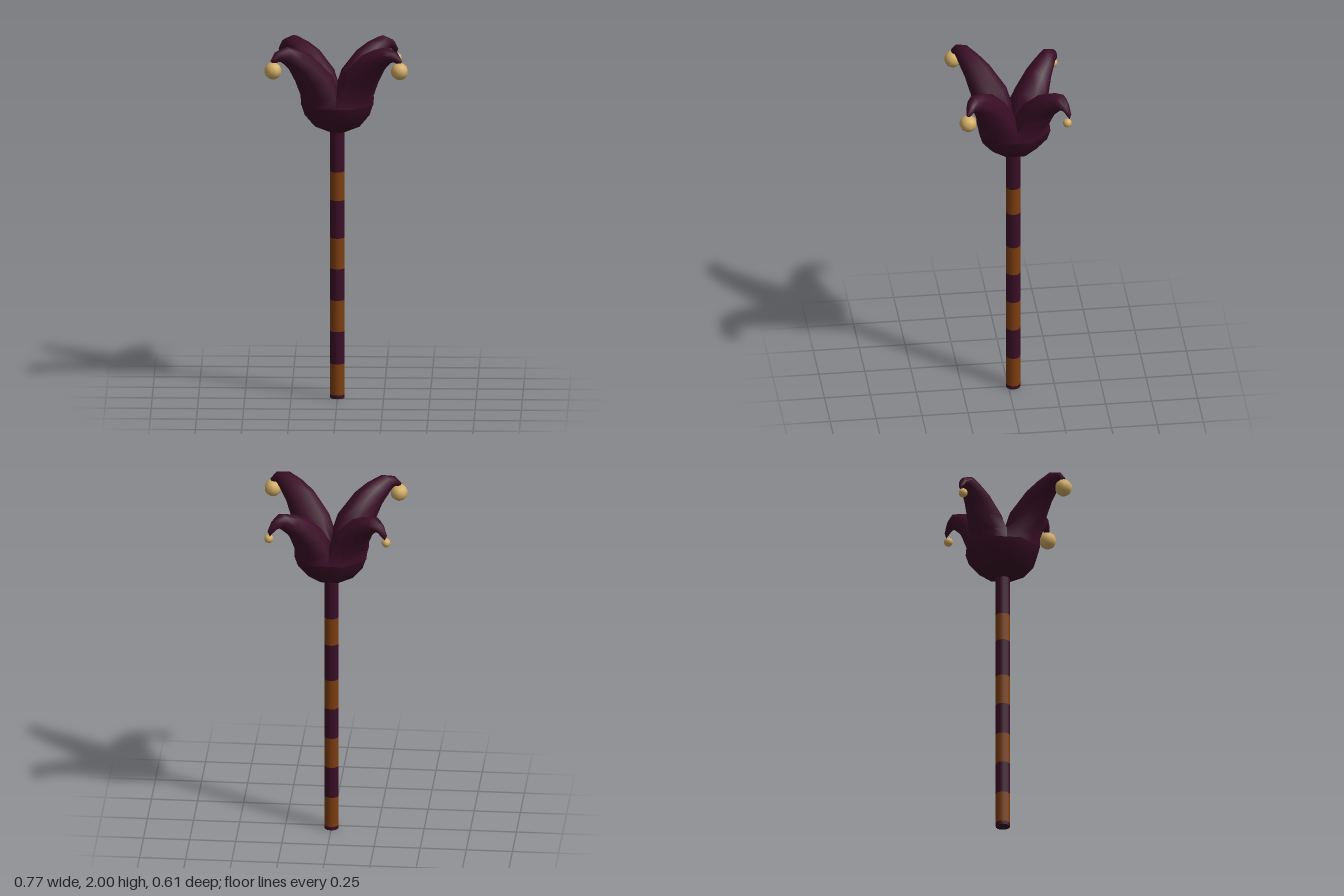
import * as THREE from 'three';
import { toCreasedNormals } from 'three/addons/utils/BufferGeometryUtils.js';

const AXIS_Z = -0.027; // the pole sits slightly behind centre

function material(name, color) {
  const m = new THREE.MeshStandardMaterial({ color });
  m.name = name;
  return m;
}

// Lobe sections from root to tip: inner edge (r, y), outer edge (r, y),
// half width, and blend from quarter-octagon (0) to ellipse (1).
const SECTIONS = [
  [0, 1.64, 0.193, 1.64, 0.136, 0],
  [0.022, 1.71, 0.222, 1.69, 0.12, 0.45],
  [0.075, 1.82, 0.27, 1.775, 0.1, 1],
  [0.19, 1.93, 0.32, 1.85, 0.077, 1],
  [0.27, 1.972, 0.36, 1.89, 0.062, 1],
  [0.355, 2.0, 0.39, 1.918, 0.045, 1],
  [0.42, 1.98, 0.413, 1.925, 0.027, 1],
  [0.456, 1.935, 0.435, 1.915, 0.012, 1],
  [0.446, 1.915, 0.446, 1.915, 0, 1],
];
const QUARTER = [[0, 0], [0.068, 0.068], [0.136, 0.136], [0.193, 0.08], [0.193, 0], [0.193, -0.08], [0.136, -0.136], [0.068, -0.068]];

function lobeGeometry(sx, sz) {
  const n = QUARTER.length, pos = [], index = [];
  const back = sz < 0;
  SECTIONS.forEach(([ri, yi, ro, yo, w, blend], k) => {
    for (let i = 0; i < n; i++) {
      const a = (i / n) * Math.PI * 2;
      const t = (1 - Math.cos(a)) / 2;
      let r = THREE.MathUtils.lerp(QUARTER[i][0], ri + (ro - ri) * t, blend);
      let s = THREE.MathUtils.lerp(QUARTER[i][1], w * Math.sin(a), blend);
      let y = yi + (yo - yi) * t;
      // back lobes are shorter and droop more
      if (back) {
        r *= 1 - 0.08 * Math.min(1, k / 3);
        y = 1.64 + (y - 1.64) * 0.89 - Math.max(0, k - 5) * 0.013;
      }
      s += 0.45 * r ** 3; // tips lean sideways
      pos.push(sx * (r + s) * Math.SQRT1_2, y, AXIS_Z + sz * (r - s) * Math.SQRT1_2);
    }
  });
  for (let k = 0; k < SECTIONS.length - 1; k++) {
    for (let i = 0; i < n; i++) {
      const a = k * n + i, b = k * n + ((i + 1) % n), c = a + n, d = b + n;
      if (sx * sz > 0) index.push(a, d, b, a, c, d);
      else index.push(a, b, d, a, d, c);
    }
  }
  const g = new THREE.BufferGeometry();
  g.setAttribute('position', new THREE.Float32BufferAttribute(pos, 3));
  g.setIndex(index);
  return toCreasedNormals(g, 1.1);
}

export function createModel() {
  const group = new THREE.Group();
  const plum = material('plum', 0x3a0e26);
  const amber = material('amber', 0x7c3e10);
  const gold = material('gold', 0xd2ad66);

  const add = (name, geometry, mat, x = 0, y = 0, z = 0) => {
    const mesh = new THREE.Mesh(geometry, mat);
    mesh.name = name;
    mesh.position.set(x, y, z);
    group.add(mesh);
  };

  // striped pole
  const levels = [0, 0.02, 0.193, 0.372, 0.545, 0.72, 0.89, 1.1, 1.257, 1.5];
  for (let i = 0; i < levels.length - 1; i++) {
    const h = levels[i + 1] - levels[i];
    const open = i > 0;
    add('poleBand', new THREE.CylinderGeometry(0.039, 0.039, h, 12, 1, open),
      i % 2 ? amber : plum, 0, levels[i] + h / 2, AXIS_Z);
  }

  // eight-sided cup that the lobes grow from
  const cup = [[0, 1.47], [0.03, 1.472], [0.12, 1.515], [0.175, 1.585], [0.193, 1.642], [0, 1.65]]
    .map(([r, y]) => new THREE.Vector2(r / Math.cos(Math.PI / 8), y));
  add('cup', toCreasedNormals(new THREE.LatheGeometry(cup, 8, Math.PI / 8), 1.1), plum, 0, 0, AXIS_Z);

  // four curled lobes, each with a bell
  for (const sx of [1, -1]) {
    for (const sz of [1, -1]) {
      add(sz > 0 ? 'frontLobe' : 'backLobe', lobeGeometry(sx, sz), plum);
      if (sz > 0) add('frontBell', new THREE.SphereGeometry(0.047, 9, 7), gold, sx * 0.342, 1.878, 0.26);
      else add('backBell', new THREE.SphereGeometry(0.025, 9, 7), gold, sx * 0.318, 1.828, -0.283);
    }
  }
  return group;
}
